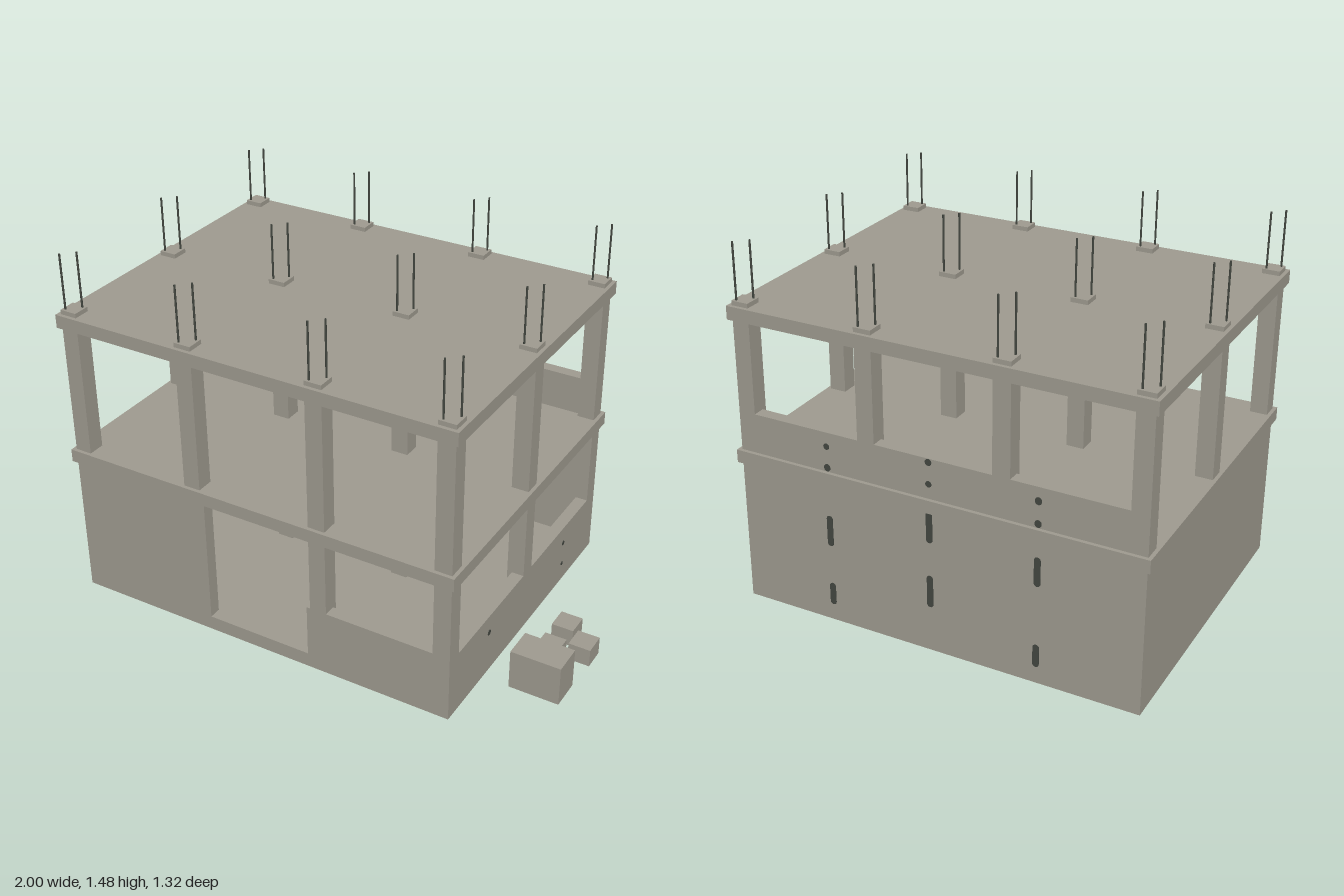
import * as THREE from 'three';

const concrete = new THREE.MeshStandardMaterial({ color: 0x9e9a8f, side: THREE.DoubleSide });
concrete.name = 'concrete';
const steel = new THREE.MeshStandardMaterial({ color: 0x434740 });
steel.name = 'dark steel';

// Box from its bounds; open leaves out the underside
function block(name, x0, x1, y0, y1, z0, z1, open = false) {
  const g = new THREE.BoxGeometry(x1 - x0, y1 - y0, z1 - z0);
  if (open) {
    const index = Array.from(g.index.array);
    index.splice(18, 6);
    g.setIndex(index);
    g.clearGroups();
  }
  const m = new THREE.Mesh(g, concrete);
  m.name = name;
  m.position.set((x0 + x1) / 2, (y0 + y1) / 2, (z0 + z1) / 2);
  return m;
}

// Upright slot with rounded ends, facing z
function slot(y0, y1, depth) {
  const r = Math.min(0.013, (y1 - y0) / 2);
  const s = new THREE.Shape();
  s.absarc(0, y1 - r, r, 0, Math.PI);
  s.absarc(0, y0 + r, r, Math.PI, Math.PI * 2);
  s.closePath();
  const g = new THREE.ExtrudeGeometry(s, { depth, bevelEnabled: false, curveSegments: 6 });
  g.translate(0, 0, -depth / 2);
  const m = new THREE.Mesh(g, steel);
  m.name = 'wallSlot';
  return m;
}

export function createModel() {
  const model = new THREE.Group();
  const colX = [-0.95, -0.43, 0.12, 0.64];
  const colZ = [-0.61, 0, 0.61];
  const h = 0.035, t = 0.05, top = 0.595;
  const L = -0.985, R = 0.675, F = 0.645;

  // Floors and roof
  model.add(block('groundFloor', L + t, R - t, 0.04, 0.06, -F + t, F - t));
  model.add(block('upperFloor', -1, 0.69, top, 0.648, -0.66, 0.66));
  model.add(block('roofSlab', -1, 0.69, 1.182, 1.236, -0.66, 0.66));

  // Columns with two starter bars each
  const barGeo = new THREE.CylinderGeometry(0.004, 0.004, 0.23, 8);
  for (const x of colX) for (const z of colZ) {
    const column = new THREE.Group();
    column.name = 'column';
    column.add(block('columnShaft', x - h, x + h, 0, 1.254, z - h, z + h, true));
    for (const s of [-1, 1]) {
      const bar = new THREE.Mesh(barGeo, steel);
      bar.name = 'starterBar';
      bar.position.set(x + s * 0.022, 1.364, z - s * 0.022);
      column.add(bar);
    }
    model.add(column);
  }

  // Front wall: solid bay, doorway, window bay: [x0, x1, height]
  for (const [x0, x1, y] of [
    [-0.915, -0.465, top], [-0.395, -0.38, top], [-0.38, 0.07, 0.06],
    [0.07, 0.085, 0.28], [0.155, 0.605, 0.28],
  ]) model.add(block('frontWall', x0, x1, 0, y, F - t, F, true));

  // Back wall with a parapet on the upper floor
  for (let i = 0; i < 3; i++) {
    const x0 = colX[i] + h, x1 = colX[i + 1] - h;
    model.add(block('backWall', x0, x1, 0, top, -F, -F + t, true));
    model.add(block('backParapet', x0, x1, 0.648, 0.81, -F, -F + t));
  }

  // Side walls: solid on one side, window openings on the other
  for (let i = 0; i < 2; i++) {
    const z0 = colZ[i] + h, z1 = colZ[i + 1] - h;
    model.add(block('solidSideWall', L, L + t, 0, top, z0, z1, true));
    model.add(block('windowSideWall', R - t, R, 0, 0.26, z0, z1, true));
  }

  // Slots through the back wall: [x, y0, y1]
  for (const [x, y0, y1] of [
    [0.29, 0.07, 0.165], [0.29, 0.33, 0.46], [0.29, 0.65, 0.68], [0.29, 0.74, 0.765],
    [-0.14, 0.19, 0.325], [-0.14, 0.465, 0.594], [-0.14, 0.695, 0.72], [-0.14, 0.782, 0.809],
    [-0.575, 0.07, 0.165], [-0.575, 0.41, 0.53], [-0.575, 0.65, 0.68], [-0.575, 0.74, 0.77],
  ]) {
    const s = slot(y0, y1, t + 0.004);
    s.position.set(x, 0, -F + t / 2);
    model.add(s);
  }

  // Slots on the side walls: [x, z, y0, y1]
  for (const [x, z, y0, y1] of [
    [L + t, 0.325, 0.33, 0.46], [L + t, -0.345, 0.33, 0.46],
    [R, 0.325, 0.172, 0.195], [R, -0.345, 0.175, 0.195], [R, -0.345, 0.075, 0.092],
  ]) {
    const s = slot(y0, y1, 0.004);
    s.rotation.y = Math.PI / 2;
    s.position.set(x, 0, z);
    model.add(s);
  }

  // Loose blocks beside the building
  model.add(block('largeBlock', 0.785, 0.99, 0, 0.167, 0.24, 0.368, true));
  for (const [x, z] of [[0.85, -0.015], [0.955, 0.062], [0.85, 0.137]])
    model.add(block('smallBlock', x - 0.045, x + 0.045, 0, 0.075, z - 0.046, z + 0.046, true));

  return model;
}
